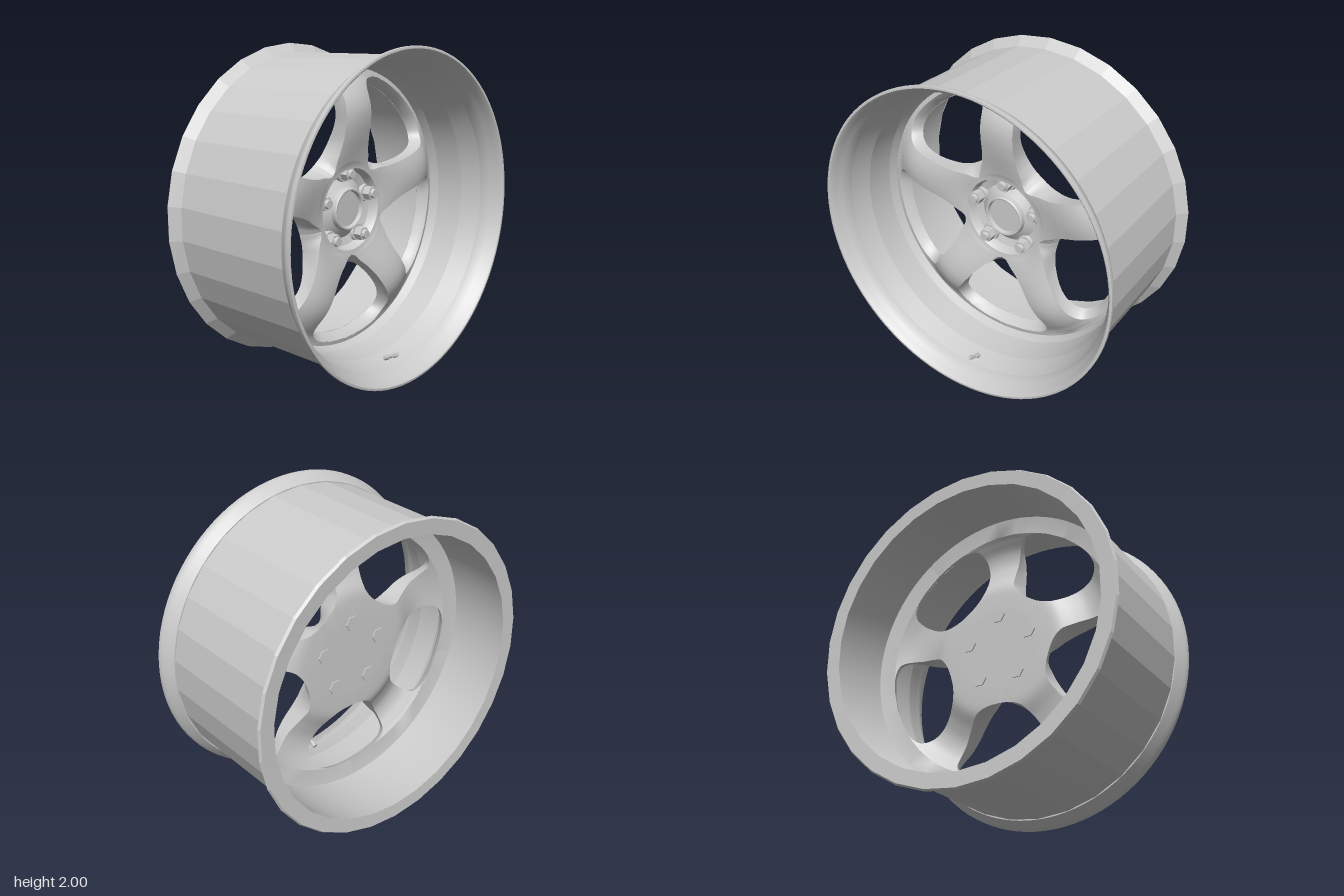
import * as THREE from 'three';
import { toCreasedNormals } from 'three/addons/utils/BufferGeometryUtils.js';

const DEG = Math.PI / 180;
const SPOKES = 5;

function material(extra = {}) {
  return new THREE.MeshStandardMaterial({ color: 0xcccccc, ...extra });
}

// Revolves [radius, x] pairs around the wheel axis (x)
function revolve(name, profile, segments, { flat = false, start = 0, crease = 0.5 } = {}) {
  let geo = new THREE.LatheGeometry(profile.map(([r, x]) => new THREE.Vector2(r, x)), segments, start);
  geo.rotateZ(-Math.PI / 2);
  if (!flat) geo = toCreasedNormals(geo, crease);
  const mesh = new THREE.Mesh(geo, material({ flatShading: flat, side: THREE.DoubleSide }));
  mesh.name = name;
  return mesh;
}

// Smooth window outline; input is [radius, degrees from the window's middle],
// output is [radius, half angle of the neighbouring spoke]
function outline(points, rows) {
  const curve = new THREE.CatmullRomCurve3(points.map(([r, a]) => new THREE.Vector3(r, a / 60, 0)));
  const edge = curve.getPoints(rows).map((p) => [p.x, (36 - Math.max(0, p.y * 60)) * DEG]);
  return [[0.255, 36 * DEG], ...edge, [0.9, 36 * DEG]];
}

// Smooth arch of a spoke face from [radius, x] pairs: returns x for a radius
function arch(points) {
  const curve = new THREE.CatmullRomCurve3(points.map(([r, x]) => new THREE.Vector3(r, x, 0))).getPoints(80);
  return (r) => {
    const i = Math.max(1, curve.findIndex((p) => p.x >= r - 1e-6));
    const a = curve[i - 1], b = curve[i];
    return THREE.MathUtils.mapLinear(r, a.x, b.x, a.y, b.y);
  };
}

// One arched spoke lofted outwards from hub to barrel, flaring at both ends
function spokeGeometry() {
  const rows = 60, across = 8;
  const front = outline([[0.285, 0], [0.3, 6], [0.345, 12], [0.4, 18], [0.47, 22], [0.56, 24.5], [0.64, 26],
    [0.725, 27], [0.785, 25.5], [0.822, 20.5], [0.835, 11], [0.835, 0]], rows);
  const back = outline([[0.36, 0], [0.365, 7], [0.375, 12], [0.4, 18], [0.44, 22.4], [0.52, 25], [0.6, 25.7],
    [0.7, 25.3], [0.757, 23.2], [0.783, 18], [0.79, 9], [0.79, 0]], rows);
  const frontX = arch([[0.25, 0.035], [0.3, 0.04], [0.37, 0.055], [0.45, 0.075], [0.54, 0.092], [0.62, 0.095],
    [0.69, 0.08], [0.76, 0.045], [0.82, 0.005], [0.91, -0.02]]);
  const backX = arch([[0.25, -0.075], [0.33, -0.075], [0.42, -0.065], [0.52, -0.02], [0.61, 0.005], [0.69, -0.005],
    [0.76, -0.045], [0.81, -0.075], [0.91, -0.09]]);

  const pos = [], idx = [];
  const n = 2 * (across + 1) + 2;
  const add = (r, a, x) => pos.push(x, r * Math.cos(a), r * Math.sin(a));
  front.forEach(([rf, af], i) => {
    const [rb, ab] = back[i];
    const xf = frontX(rf), xb = backX(rb);
    const crown = 0.015 * Math.sin((Math.PI * i) / (front.length - 1));
    const wall = (s) => add(rf + (rb - rf) * 0.6, s * (af + (ab - af) * 0.6), xf + (xb - xf) * 0.4);
    for (let j = 0; j <= across; j++) {
      const u = (j / across) * 2 - 1;
      add(rf, u * af, xf + crown * (1 - u * u));
    }
    wall(1);
    for (let j = 0; j <= across; j++) add(rb, (1 - (2 * j) / across) * ab, xb);
    wall(-1);
  });
  for (let i = 0; i < front.length - 1; i++) {
    for (let j = 0; j < n; j++) {
      const a = i * n + j, b = i * n + ((j + 1) % n);
      idx.push(a, a + n, b, b, a + n, b + n);
    }
  }
  const geo = new THREE.BufferGeometry();
  geo.setAttribute('position', new THREE.Float32BufferAttribute(pos, 3));
  geo.setIndex(idx);
  return toCreasedNormals(geo, 0.6);
}

// Cylinder lying along x, between two x positions
function axial(parent, name, r0, r1, x0, x1, sides) {
  const geo = new THREE.CylinderGeometry(r1, r0, x1 - x0, sides).rotateZ(-Math.PI / 2);
  const mesh = new THREE.Mesh(toCreasedNormals(geo, 0.6), material());
  mesh.position.x = (x0 + x1) / 2;
  mesh.name = name;
  parent.add(mesh);
}

export function createModel() {
  const root = new THREE.Group();
  root.name = 'wheelRim';
  const wheel = new THREE.Group();
  wheel.name = 'wheel';
  wheel.position.y = 1;
  root.add(wheel);

  // Faceted outside of the barrel with the rear flange
  wheel.add(revolve('barrelOuter', [[0.89, -0.495], [0.98, -0.5], [0.99, -0.485], [0.935, -0.43], [0.948, 0.4]],
    30, { flat: true, start: 6 * DEG }));

  // Smooth front lip
  wheel.add(revolve('frontLip', [[0.93, 0.4], [0.952, 0.4], [0.985, 0.45], [0.997, 0.47], [1, 0.48], [1, 0.498],
    [0.996, 0.5], [0.985, 0.5], [0.975, 0.49], [0.965, 0.465], [0.945, 0.43], [0.93, 0.4], [0.925, 0.36]], 96));

  // Stepped inside of the barrel
  wheel.add(revolve('barrelInner', [[0.925, 0.36], [0.89, 0.23], [0.878, 0.05], [0.86, -0.005], [0.86, -0.07],
    [0.89, -0.085], [0.9, -0.3], [0.89, -0.495]], 96, { crease: 0.15 }));

  // Five spokes
  const spokeGeo = spokeGeometry();
  for (let k = 0; k < SPOKES; k++) {
    const spoke = new THREE.Mesh(spokeGeo, material());
    spoke.name = `spoke${k + 1}`;
    spoke.rotation.x = (k * 2 * Math.PI) / SPOKES;
    wheel.add(spoke);
  }

  // Hub with a recessed bolt face and a raised centre ring
  wheel.add(revolve('hub', [[0, -0.075], [0.262, -0.075], [0.262, 0.035], [0.25, 0.02], [0.24, -0.03],
    [0.19, -0.045], [0.165, -0.03], [0.135, -0.01], [0.132, 0.02], [0.125, 0.027], [0.115, 0.025], [0.11, 0],
    [0, 0]], 64));

  // Lug nuts, with hexagonal ends showing behind the hub
  for (let k = 0; k < SPOKES; k++) {
    const a = (k * 2 * Math.PI) / SPOKES;
    const nut = new THREE.Group();
    nut.name = `lugNut${k + 1}`;
    nut.position.set(0, 0.22 * Math.cos(a), 0.22 * Math.sin(a));
    axial(nut, 'seat', 0.06, 0.054, -0.05, -0.02, 24);
    axial(nut, 'hexBody', 0.046, 0.044, -0.02, 0.03, 6);
    axial(nut, 'tip', 0.03, 0.026, 0.028, 0.05, 20);
    axial(nut, 'rearHex', 0.05, 0.05, -0.083, -0.065, 6);
    wheel.add(nut);
  }

  // Valve stem leaning inwards at the bottom of the barrel
  const valve = new THREE.Group();
  valve.name = 'valveStem';
  valve.position.set(0.32, -0.885, 0);
  valve.rotation.z = 25 * DEG;
  axial(valve, 'base', 0.017, 0.014, -0.01, 0.03, 16);
  axial(valve, 'stem', 0.01, 0.01, 0.03, 0.08, 12);
  axial(valve, 'cap', 0.015, 0.013, 0.065, 0.1, 12);
  wheel.add(valve);

  return root;
}
